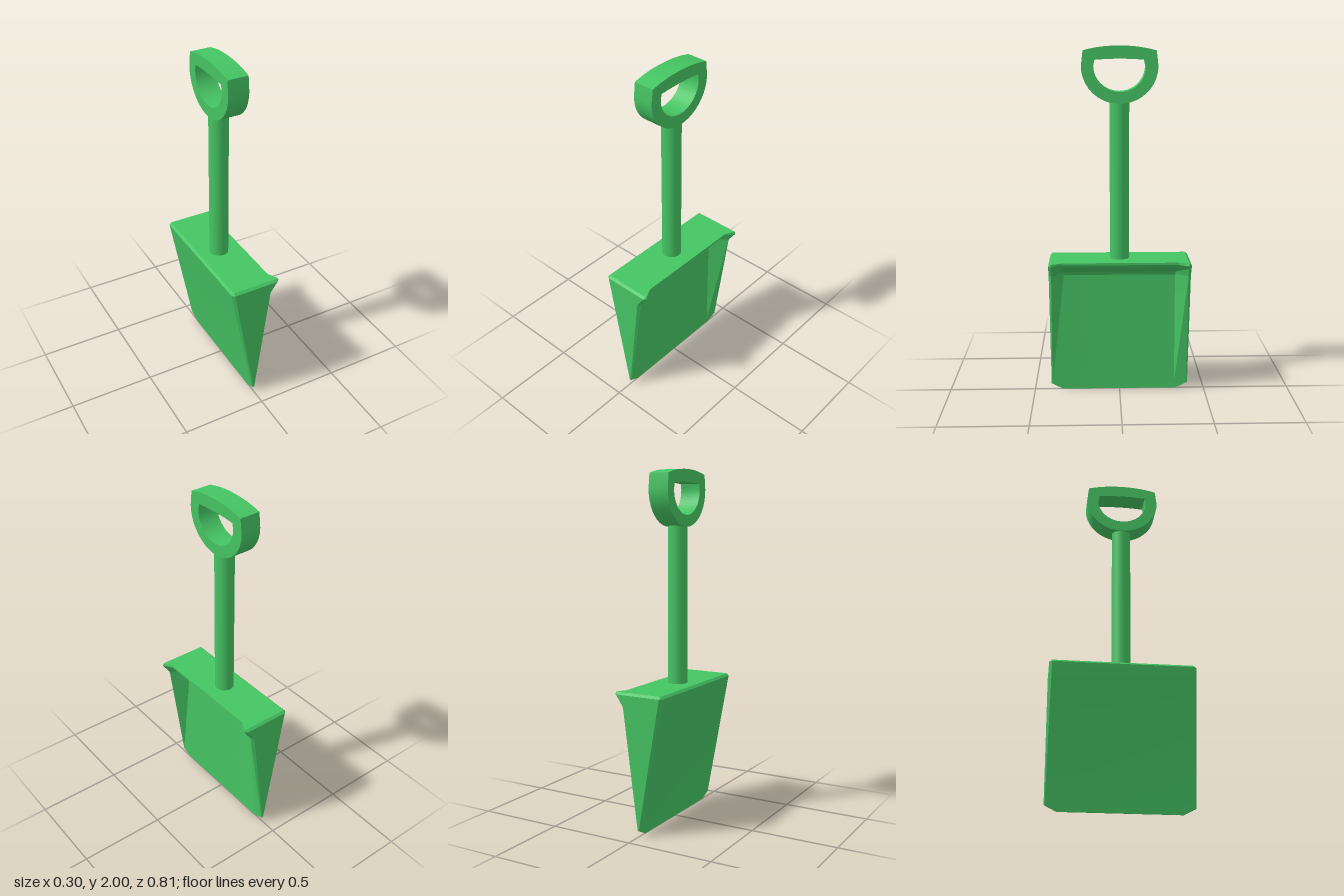
import * as THREE from 'three';
import { toCreasedNormals } from 'three/addons/utils/BufferGeometryUtils.js';

const COLOR = 0x45c463;
const SHAFT_X = -0.018;

// Half outline of the blade at one height: back edge, side wall, front rim, scoop floor
function bladeSection({ back, rim, floor, z, zIn, bevel }) {
  const half = [
    [-back, z - bevel],
    [-back + bevel, z],
    [rim - bevel, z],
    [rim, z - bevel],
    [floor, zIn],
  ];
  return [...half, ...half.map(([x, w]) => [x, -w]).reverse()];
}

// Hollow wedge lofted upward through horizontal cross-sections
function bladeGeometry() {
  const levels = [
    { y: 0, back: 0.003, rim: 0.003, floor: 0.002, z: 0.335, zIn: 0.325, bevel: 0.001 },
    { y: 0.035, back: 0.008, rim: 0.008, floor: 0.002, z: 0.403, zIn: 0.325, bevel: 0.005 },
    { y: 0.7, back: 0.134, rim: 0.1, floor: 0, z: 0.405, zIn: 0.322, bevel: 0.015 },
    { y: 0.72, back: 0.138, rim: 0.104, floor: 0.012, z: 0.405, zIn: 0.324, bevel: 0.015 },
    { y: 0.77, back: 0.147, rim: 0.138, floor: 0.1, z: 0.405, zIn: 0.33, bevel: 0.015 },
    { y: 0.787, back: 0.15, rim: 0.15, floor: 0.115, z: 0.405, zIn: 0.33, bevel: 0.015 },
    { y: 0.8, back: 0.137, rim: 0.145, floor: 0.115, z: 0.392, zIn: 0.33, bevel: 0.003 },
  ];
  const sections = levels.map(bladeSection);
  const n = sections[0].length;
  const positions = sections.flatMap((s, k) => s.flatMap(([x, z]) => [x, levels[k].y, z]));
  const index = [];
  for (let k = 0; k < levels.length - 1; k++) {
    for (let i = 0; i < n; i++) {
      const a = k * n + i;
      const b = k * n + ((i + 1) % n);
      index.push(a, b, b + n, a, b + n, a + n);
    }
  }
  // Closed tip and top plate
  const cap = (k, flip) => {
    const contour = sections[k].map(([x, z]) => new THREE.Vector2(x, -z));
    for (const [a, b, c] of THREE.ShapeUtils.triangulateShape(contour, [])) {
      const f = [a, b, c].map((v) => v + k * n);
      index.push(...(flip ? f.reverse() : f));
    }
  };
  cap(0, true);
  cap(levels.length - 1, false);

  const geometry = new THREE.BufferGeometry();
  geometry.setAttribute('position', new THREE.Float32BufferAttribute(positions, 3));
  geometry.setIndex(index);
  return toCreasedNormals(geometry, 0.15);
}

// D-shaped grip ring, extruded across the shaft
function gripGeometry() {
  const shape = new THREE.Shape();
  shape.moveTo(-0.202, 1.974);
  shape.lineTo(-0.212, 1.89);
  shape.bezierCurveTo(-0.212, 1.775, -0.115, 1.685, 0, 1.685);
  shape.bezierCurveTo(0.115, 1.685, 0.212, 1.775, 0.212, 1.89);
  shape.lineTo(0.202, 1.974);
  shape.quadraticCurveTo(0.11, 2, 0, 2);
  shape.quadraticCurveTo(-0.11, 2, -0.202, 1.974);

  const hole = new THREE.Path();
  hole.moveTo(-0.138, 1.924);
  hole.quadraticCurveTo(0, 1.936, 0.138, 1.924);
  hole.lineTo(0.145, 1.89);
  hole.bezierCurveTo(0.145, 1.812, 0.08, 1.75, 0, 1.75);
  hole.bezierCurveTo(-0.08, 1.75, -0.145, 1.812, -0.145, 1.89);
  hole.lineTo(-0.138, 1.924);
  shape.holes.push(hole);

  const width = 0.12;
  const geometry = new THREE.ExtrudeGeometry(shape, { depth: width, bevelEnabled: false, curveSegments: 10 });
  geometry.translate(0, 0, -width / 2);
  geometry.rotateY(Math.PI / 2);
  geometry.translate(SHAFT_X, 0, 0);
  return toCreasedNormals(geometry, 0.5);
}

export function createModel() {
  const group = new THREE.Group();
  group.name = 'spade';
  const material = new THREE.MeshStandardMaterial({ color: COLOR });
  const add = (name, geometry) => {
    const mesh = new THREE.Mesh(geometry, material);
    mesh.name = name;
    group.add(mesh);
    return mesh;
  };

  add('blade', bladeGeometry());
  // Round shaft running from the top plate into the grip
  const shaft = add('shaft', new THREE.CylinderGeometry(0.055, 0.055, 0.9, 32));
  shaft.position.set(SHAFT_X, 1.245, 0);
  add('grip', gripGeometry());
  return group;
}
